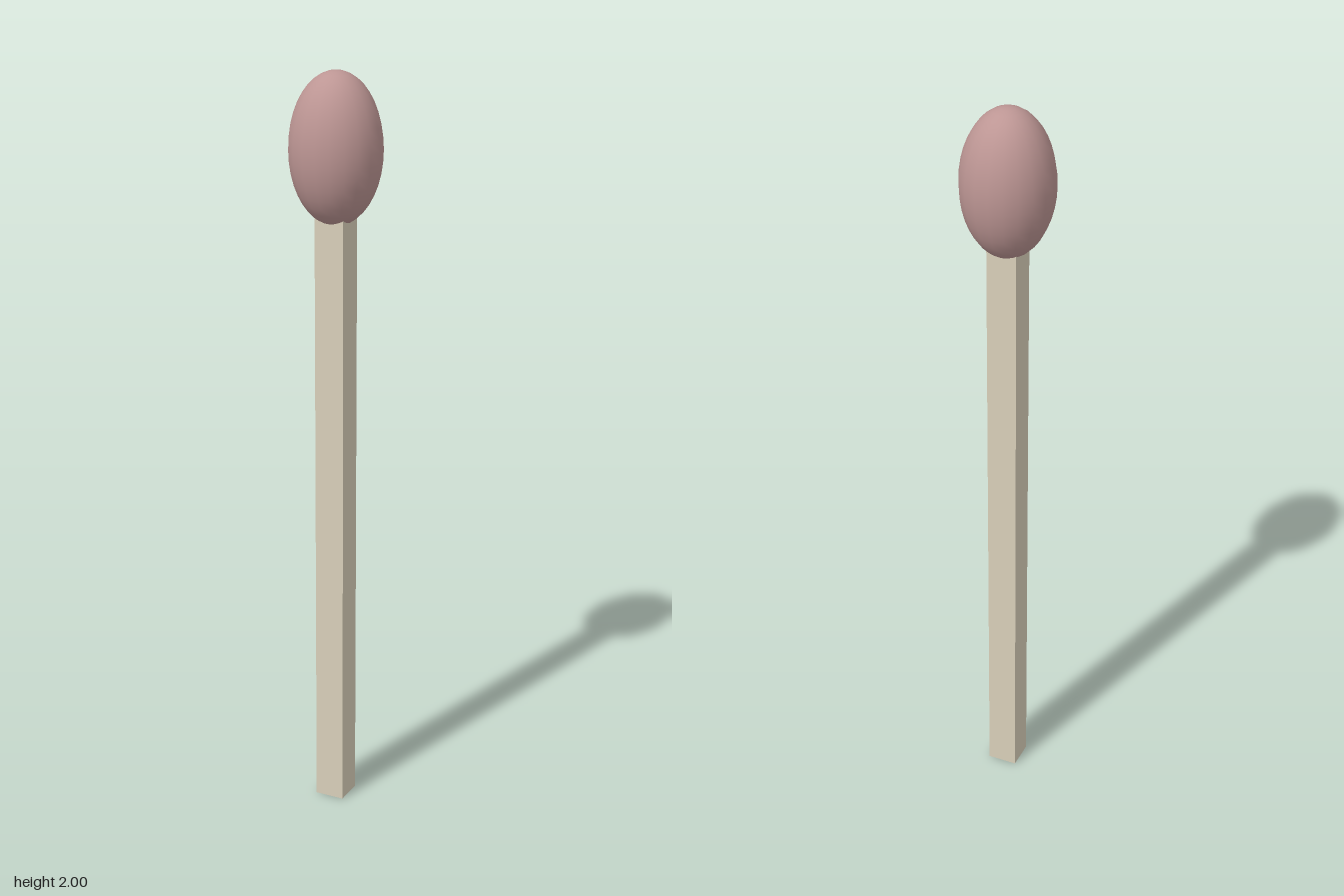
import * as THREE from 'three';

export function createModel() {
  const group = new THREE.Group();

  const add = (name, geometry, color, y) => {
    const mesh = new THREE.Mesh(geometry, new THREE.MeshStandardMaterial({ color }));
    mesh.name = name;
    mesh.position.y = y;
    group.add(mesh);
  };

  // Square wooden stick, its top end buried in the head
  const stickHeight = 1.7;
  add('stick', new THREE.BoxGeometry(0.08, stickHeight, 0.08), 0xd9d0ba, stickHeight / 2);

  // Egg-shaped head: a sphere stretched upwards
  const headRadius = 0.12, headHalfHeight = 0.195;
  const head = new THREE.SphereGeometry(headRadius, 20, 20);
  head.scale(1, headHalfHeight / headRadius, 1);
  add('head', head, 0xbd9694, 2 - headHalfHeight);

  return group;
}
